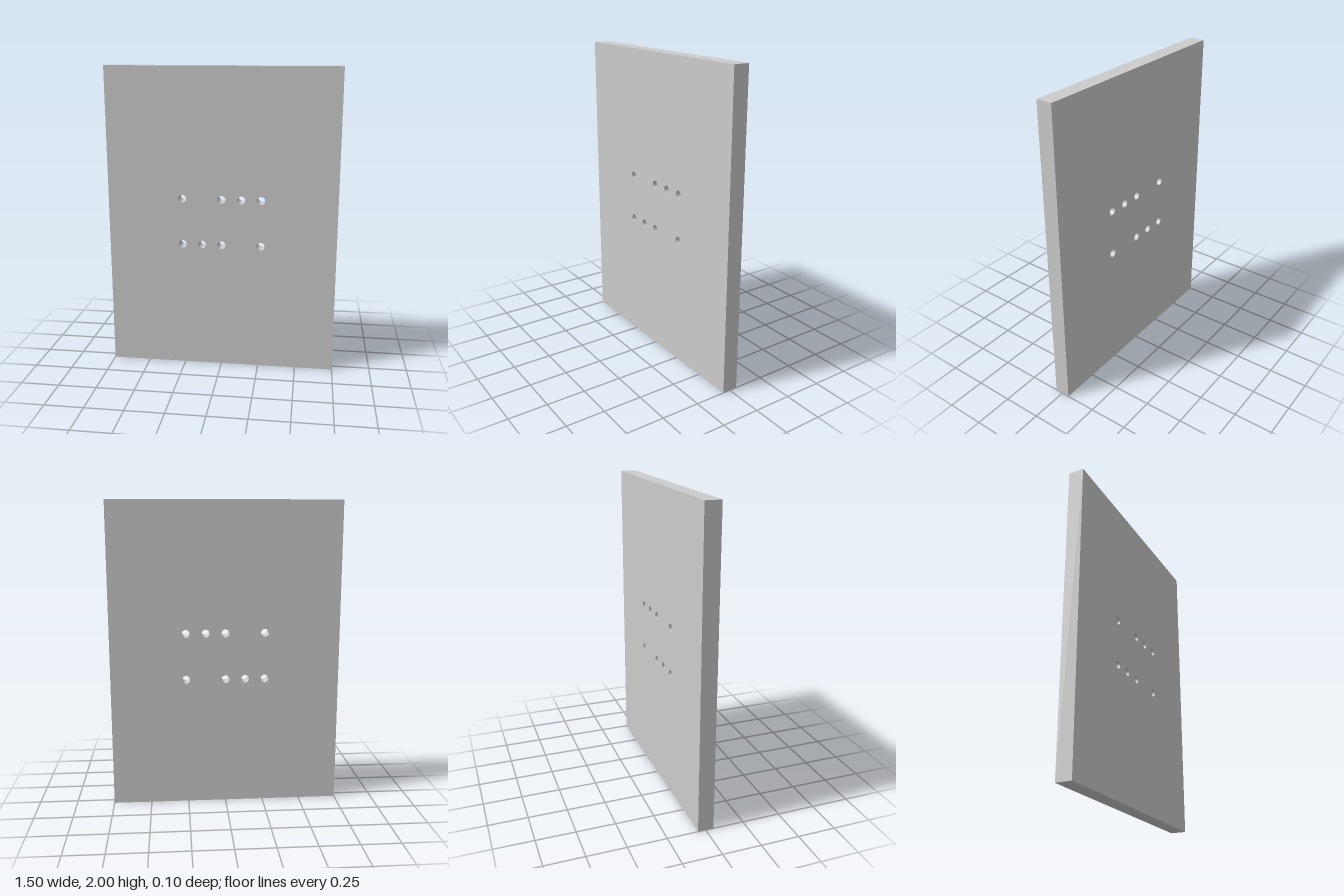
import * as THREE from 'three';
import { toCreasedNormals } from 'three/addons/utils/BufferGeometryUtils.js';

const WIDTH = 1.5, HEIGHT = 2, DEPTH = 0.102;
const HOLE_RADIUS = 0.026, PITCH = 0.129, ROW_OFFSET = 0.153;

export function createModel() {
  const group = new THREE.Group();
  group.name = 'drilledPanel';

  // Rectangular outline, standing on y = 0
  const outline = new THREE.Shape();
  outline.moveTo(-WIDTH / 2, 0);
  outline.lineTo(WIDTH / 2, 0);
  outline.lineTo(WIDTH / 2, HEIGHT);
  outline.lineTo(-WIDTH / 2, HEIGHT);
  outline.closePath();

  // Two rows of through holes; the lower row is the upper one turned half around
  for (const side of [1, -1]) {
    for (const step of [-2, 0, 1, 2]) {
      const hole = new THREE.Path();
      hole.absarc(side * step * PITCH, HEIGHT / 2 + side * ROW_OFFSET, HOLE_RADIUS, 0, Math.PI * 2, true);
      outline.holes.push(hole);
    }
  }

  const geometry = new THREE.ExtrudeGeometry(outline, { depth: DEPTH, bevelEnabled: false, curveSegments: 32 });
  geometry.translate(0, 0, -DEPTH / 2);

  // Smooth hole walls, sharp panel edges
  const panel = new THREE.Mesh(
    toCreasedNormals(geometry, Math.PI / 6),
    new THREE.MeshStandardMaterial({ color: 0xcccccc })
  );
  panel.name = 'panel';
  group.add(panel);
  return group;
}
